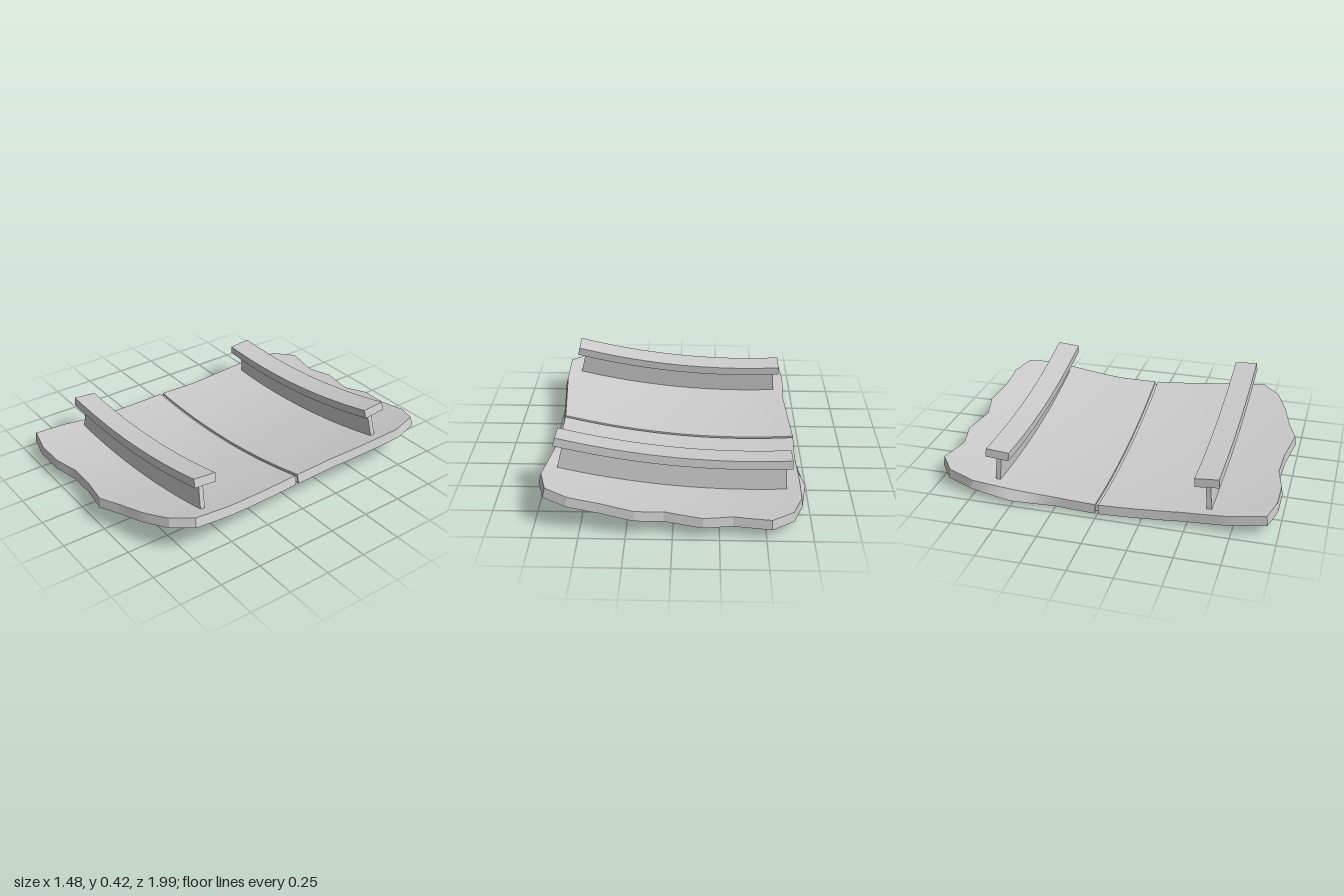
import * as THREE from 'three';
import { toCreasedNormals } from 'three/addons/utils/BufferGeometryUtils.js';

const THICK = 0.056;
const material = new THREE.MeshStandardMaterial({ color: 0xcccccc, side: THREE.DoubleSide });

// Place a point on the doubly curved hull, raised h along the hull normal
function bend(x, z, h) {
  const c = 0.113, x0 = -0.41, k = 0.07;
  const n = new THREE.Vector3(-2 * c * (x - x0), 1, -2 * k * z).normalize();
  return new THREE.Vector3(x, c * (x - x0) ** 2 + k * z * z, z).addScaledVector(n, h);
}

// Closed curved slab between two grids of points: bottom(s, t) and top(s, t)
function slab(name, bottom, top, ns, nt, flip = false) {
  const pos = [], index = [];
  for (const f of [bottom, top])
    for (let j = 0; j <= nt; j++)
      for (let i = 0; i <= ns; i++) pos.push(...f(i / ns, j / nt).toArray());
  const N = (ns + 1) * (nt + 1);
  const id = (i, j) => j * (ns + 1) + i;
  const tri = (a, b, c) => (flip ? index.push(a, c, b) : index.push(a, b, c));
  for (let j = 0; j < nt; j++)
    for (let i = 0; i < ns; i++) {
      const a = id(i, j), b = id(i + 1, j), c = id(i + 1, j + 1), d = id(i, j + 1);
      tri(a + N, d + N, c + N);
      tri(a + N, c + N, b + N);
      tri(a, c, d);
      tri(a, b, c);
    }
  // Walls around the rim
  const rim = [];
  for (let i = 0; i < ns; i++) rim.push(id(i, 0));
  for (let j = 0; j < nt; j++) rim.push(id(ns, j));
  for (let i = ns; i > 0; i--) rim.push(id(i, nt));
  for (let j = nt; j > 0; j--) rim.push(id(0, j));
  rim.forEach((p, r) => {
    const q = rim[(r + 1) % rim.length];
    tri(p, p + N, q + N);
    tri(p, q + N, q);
  });
  const geo = new THREE.BufferGeometry();
  geo.setAttribute('position', new THREE.Float32BufferAttribute(pos, 3));
  geo.setIndex(index);
  const mesh = new THREE.Mesh(toCreasedNormals(geo, 0.3), material);
  mesh.name = name;
  return mesh;
}

// Curved bar that follows the hull between two heights
function bar(name, x0, x1, z, halfWidth, h0, h1) {
  const at = (h) => (s, t) => bend(x0 + (x1 - x0) * s, z + halfWidth * (2 * t - 1), h);
  return slab(name, at(h0), at(h1), 24, 1);
}

// Point on a polyline whose corners are evenly spaced in t
function along(points, t) {
  const f = t * (points.length - 1);
  const i = Math.min(Math.floor(f), points.length - 2);
  const [a, b] = [points[i], points[i + 1]];
  return [0, 1].map((k) => a[k] + (b[k] - a[k]) * (f - i));
}

// Blend a left side, right side and ragged end into a filled patch
function patch(left, right, end) {
  const [L0, R0, L1, R1] = [left[0], right[0], end[0], end[end.length - 1]];
  return (s, t) => {
    const l = along(left, t), r = along(right, t), e = along(end, s);
    return [0, 1].map((k) => {
      const seam = L0[k] + (R0[k] - L0[k]) * s;
      return (1 - t) * seam + t * e[k] + (1 - s) * l[k] + s * r[k]
        - ((1 - s) * (1 - t) * L0[k] + s * (1 - t) * R0[k] + (1 - s) * t * L1[k] + s * t * R1[k]);
    });
  };
}

function panel(name, lower, upper, flip) {
  return slab(name, (s, t) => bend(...lower(s, t), 0), (s, t) => bend(...upper(s, t), THICK), 24, 12, flip);
}

export function createModel() {
  const model = new THREE.Group();
  model.name = 'hullFragment';

  // Front panel
  const frontEnd = [[-0.68, 0.942], [-0.52, 0.979], [-0.34, 0.979], [-0.177, 0.942], [0, 0.952],
    [0.198, 0.99], [0.336, 0.937], [0.49, 0.894], [0.643, 0.825], [0.738, 0.72]];
  const front = patch(
    [[-0.717, 0.009], [-0.69, 0.49], [-0.7, 0.74], frontEnd[0]],
    [[0.695, 0.009], [0.738, 0.49], frontEnd[9]], frontEnd);
  // 27 columns keep every corner of the nine-sided end
  model.add(slab('frontPanel', (s, t) => bend(...front(s, t), 0), (s, t) => bend(...front(s, t), THICK), 27, 12));

  // Back panel, its lower edge torn outward on one side
  const backEnd = [[-0.648, -0.91], [-0.526, -1], [-0.32, -0.963], [-0.16, -1], [0.05, -0.958],
    [0.204, -0.995], [0.384, -0.963], [0.563, -0.958], [0.69, -0.905]];
  const back = (tornX) => patch(
    [[-0.717, -0.009], [-0.706, -0.25], [tornX, -0.5], [-0.706, -0.746], backEnd[0]],
    [[0.695, -0.009], [0.69, -0.249], [0.733, -0.746], backEnd[8]], backEnd);
  model.add(panel('backPanel', back(-0.745), back(-0.71), true));

  // Recessed strip in the seam between the panels
  model.add(bar('seamStrip', -0.705, 0.685, 0, 0.01, 0.012, 0.044));

  // Two T-section ribs
  for (const side of [1, -1]) {
    const rib = new THREE.Group();
    rib.name = side > 0 ? 'frontRib' : 'backRib';
    rib.add(bar('ribWeb', -0.63, 0.66, side * 0.62, 0.014, 0.04, 0.21));
    rib.add(bar('ribFlange', -0.665, 0.708, side * 0.62, 0.07, 0.204, 0.254));
    model.add(rib);
  }
  return model;
}
